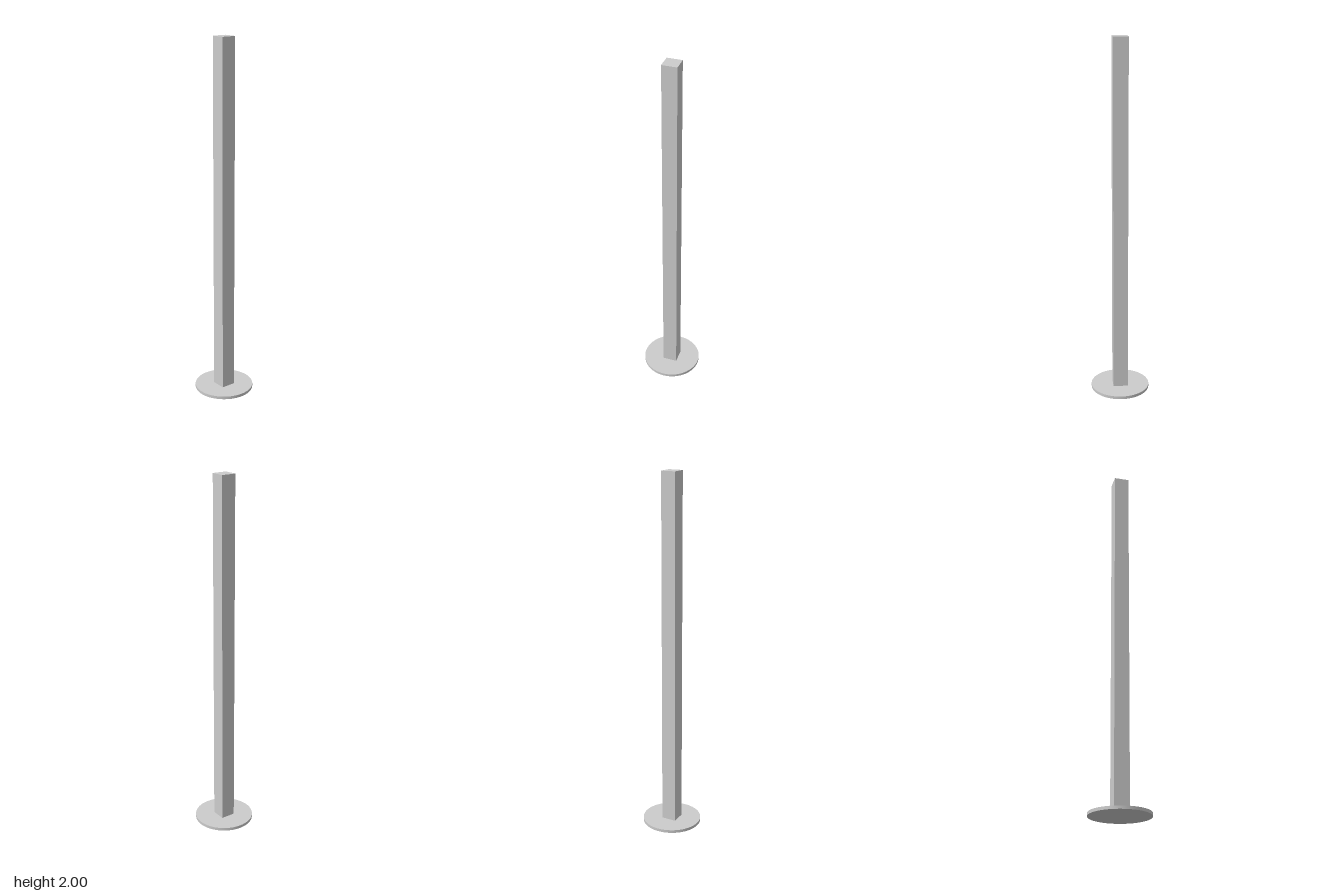
import * as THREE from 'three';

export function createModel() {
  const group = new THREE.Group();
  group.name = 'post';
  const material = new THREE.MeshStandardMaterial({ color: 0xcccccc });
  const height = 2, baseHeight = 0.0165, baseRadius = 0.165, width = 0.082;

  const add = (name, geometry, y) => {
    const mesh = new THREE.Mesh(geometry, material);
    mesh.name = name;
    mesh.position.y = y;
    group.add(mesh);
  };

  // Thin round foot plate
  add('basePlate', new THREE.CylinderGeometry(baseRadius, baseRadius, baseHeight, 64), baseHeight / 2);

  // Square upright standing on the plate
  const postHeight = height - baseHeight;
  add('upright', new THREE.BoxGeometry(width, postHeight, width), baseHeight + postHeight / 2);

  return group;
}
